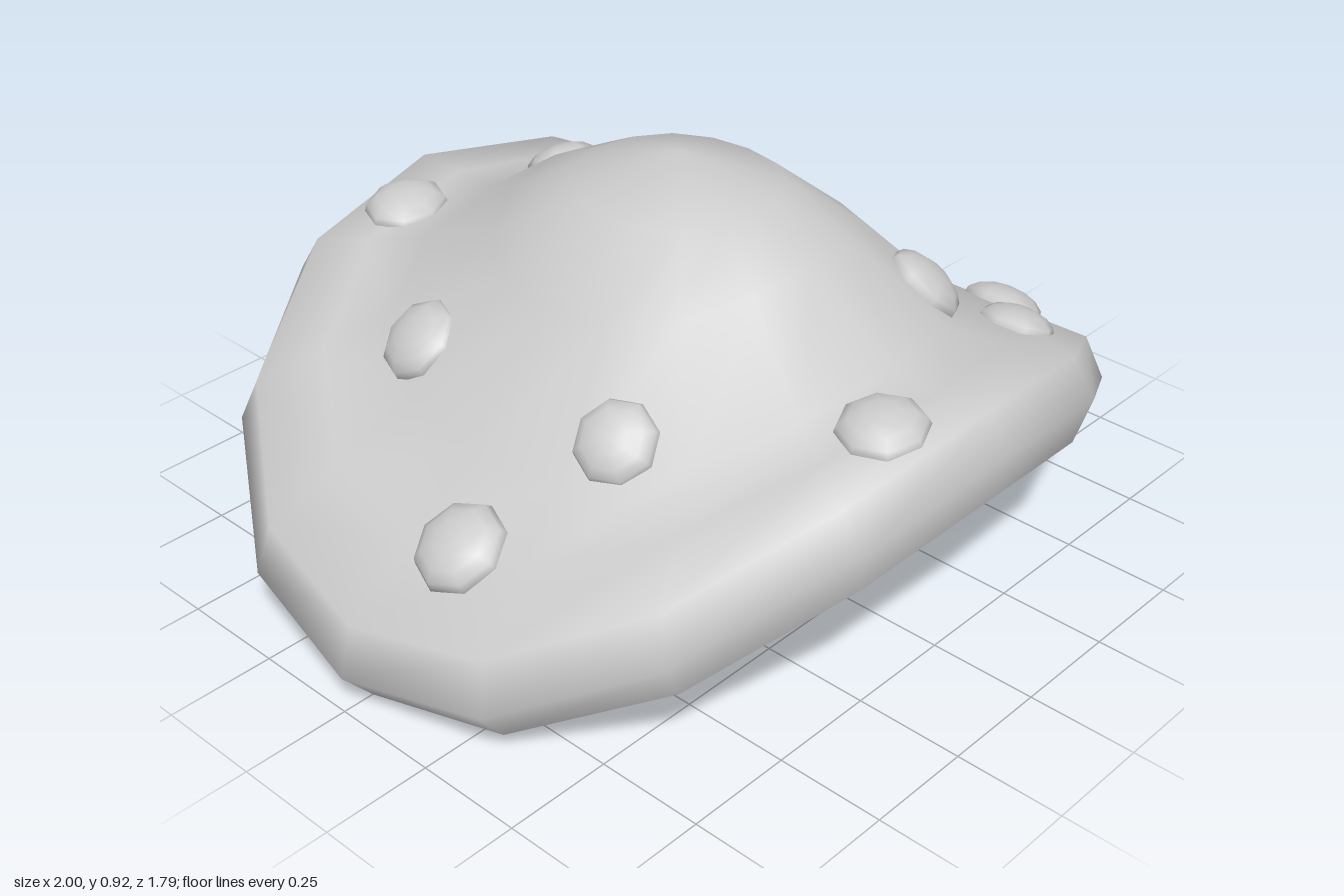
import * as THREE from 'three';
import { mergeVertices } from 'three/addons/utils/BufferGeometryUtils.js';

const SIDES = 16;

// Rings as [x radius, z radius, height at x = 0, droop towards the sides]
const TOP = [
  [0, 0, 0.925, 0], [0.225, 0.235, 0.857, 0.1], [0.4, 0.38, 0.79, 0.55],
  [0.62, 0.6, 0.635, 0.46], [0.8, 0.72, 0.632, 0.46], [0.97, 0.84, 0.637, 0.455],
  [1, 0.895, 0.555, 0.465], [0.925, 0.87, 0.447, 0.517],
];
const UNDER = [TOP[7], [0.72, 0.7, 0.33, 0.6], [0.54, 0.52, 0.305, 0.57]];
const HOLLOW = [UNDER[2], [0.43, 0.41, 0.5, 0.48], [0.23, 0.23, 0.68, 0.2], [0, 0, 0.75, 0]];

// Fuller on the diagonals than a plain ellipse
const full = (s) => s * (1 + 0.12 * s * s * (1 - s * s));

// Smooth skin through a list of drooping rings
function skin(rings) {
  const pos = [], index = [];
  rings.forEach(([rx, rz, y, droop], i) => {
    for (let j = 0; j < SIDES; j++) {
      const a = (j / SIDES) * Math.PI * 2;
      const x = rx * full(Math.sin(a));
      pos.push(x, y - droop * x * x, rz * full(Math.cos(a)));
      if (i === rings.length - 1) continue;
      const p = i * SIDES + j, q = i * SIDES + ((j + 1) % SIDES);
      if (rx > 0) index.push(p, p + SIDES, q);
      if (rings[i + 1][0] > 0) index.push(q, p + SIDES, q + SIDES);
    }
  });
  let geo = new THREE.BufferGeometry();
  geo.setAttribute('position', new THREE.Float32BufferAttribute(pos, 3));
  geo.setIndex(index);
  geo = mergeVertices(geo);
  geo.computeVertexNormals();
  return geo;
}

// Spots as [x, z, radius]
const SPOTS = [
  [-0.17, -0.71, 0.1], [0.09, -0.455, 0.085], [-0.49, -0.3, 0.1], [0.49, -0.31, 0.095],
  [0.755, -0.15, 0.105], [-0.77, 0.125, 0.105], [-0.49, 0.29, 0.095], [0.32, 0.43, 0.1],
  [0.485, 0.565, 0.09], [0.72, 0.37, 0.1], [-0.16, 0.7, 0.1],
];

export function createModel() {
  const group = new THREE.Group();
  const grey = new THREE.MeshStandardMaterial({ color: 0xcccccc });
  grey.name = 'light grey';

  const add = (name, geo) => {
    const mesh = new THREE.Mesh(geo, grey);
    mesh.name = name;
    group.add(mesh);
    return mesh;
  };

  // Cap: drooping top, flat underside ring and open hollow
  const top = add('capTop', skin(TOP));
  add('capUnderside', skin(UNDER));
  add('capHollow', skin(HOLLOW));

  // Raised spots, seated on the cap and tilted with its slope
  const dome = new THREE.SphereGeometry(1, 8, 4, 0, Math.PI * 2, 0, Math.PI / 2);
  const up = new THREE.Vector3(0, 1, 0);
  const ray = new THREE.Raycaster();
  SPOTS.forEach(([x, z, r], i) => {
    const normal = new THREE.Vector3();
    let seat = null;
    for (const [dx, dz] of [[0, 0], [0.05, 0], [-0.05, 0], [0, 0.05], [0, -0.05]]) {
      ray.set(new THREE.Vector3(x + dx, 2, z + dz), new THREE.Vector3(0, -1, 0));
      const hit = ray.intersectObject(top)[0];
      if (!hit) continue;
      normal.add(hit.face.normal);
      seat = seat || hit.point;
    }
    if (!seat) return;
    normal.normalize();
    const spot = add('spot' + (i + 1), dome);
    spot.scale.set(r, r * 0.52, r);
    spot.position.copy(seat).addScaledVector(normal, -0.004);
    spot.quaternion.setFromUnitVectors(up, normal);
  });
  return group;
}
